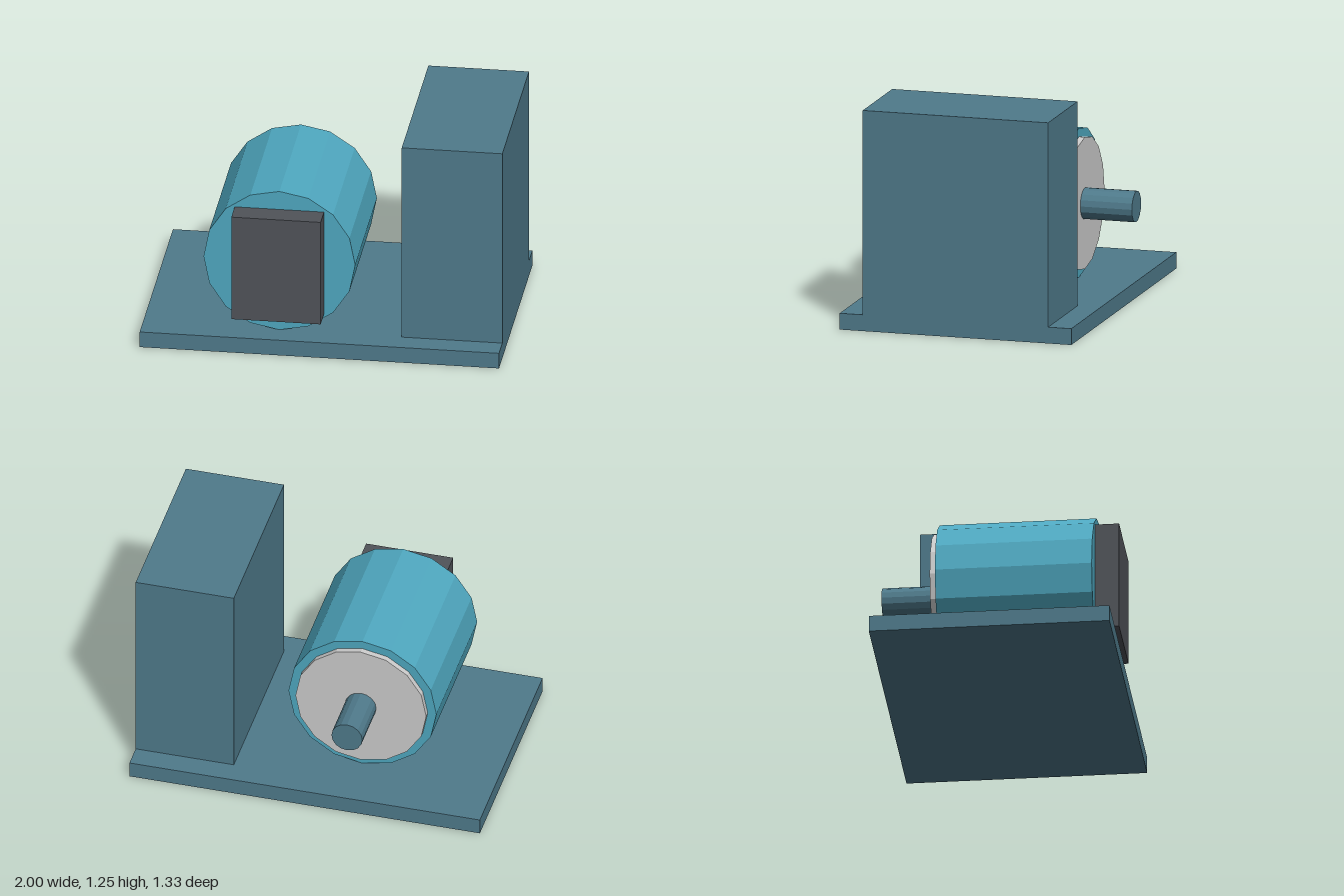
import * as THREE from 'three';

export function createModel() {
  const model = new THREE.Group();
  const material = (color) => new THREE.MeshStandardMaterial({ color, flatShading: true });
  const steel = material(0x4f7a8b);
  const teal = material(0x4fa8c0);
  const dark = material(0x505359);
  const grey = material(0xcccccc);

  // Box given by its lower and upper limits on each axis
  function addBox(name, [x0, x1], [y0, y1], [z0, z1], mat) {
    const mesh = new THREE.Mesh(new THREE.BoxGeometry(x1 - x0, y1 - y0, z1 - z0), mat);
    mesh.position.set((x0 + x1) / 2, (y0 + y1) / 2, (z0 + z1) / 2);
    mesh.name = name;
    model.add(mesh);
  }

  // 16-sided cylinder along z on the common motor axis
  function addRound(name, radius, z0, z1, mat) {
    const geometry = new THREE.CylinderGeometry(radius, radius, z1 - z0, 16).rotateX(Math.PI / 2);
    const mesh = new THREE.Mesh(geometry, mat);
    mesh.position.set(-0.241, 0.514, (z0 + z1) / 2);
    mesh.name = name;
    model.add(mesh);
  }

  // Base plate and upright cabinet
  addBox('basePlate', [-1, 1], [0, 0.092], [-0.667, 0.667], steel);
  addBox('cabinet', [0.44, 1], [0.092, 1.247], [-0.534, 0.534], steel);

  // Motor: body, front terminal box, rear flange and shaft
  addRound('motorBody', 0.422, -0.336, 0.533, teal);
  addBox('terminalBox', [-0.49, 0.007], [0.204, 0.826], [0.533, 0.667], dark);
  addRound('rearFlange', 0.373, -0.37, -0.336, grey);
  addRound('driveShaft', 0.088, -0.667, -0.37, steel);

  return model;
}
